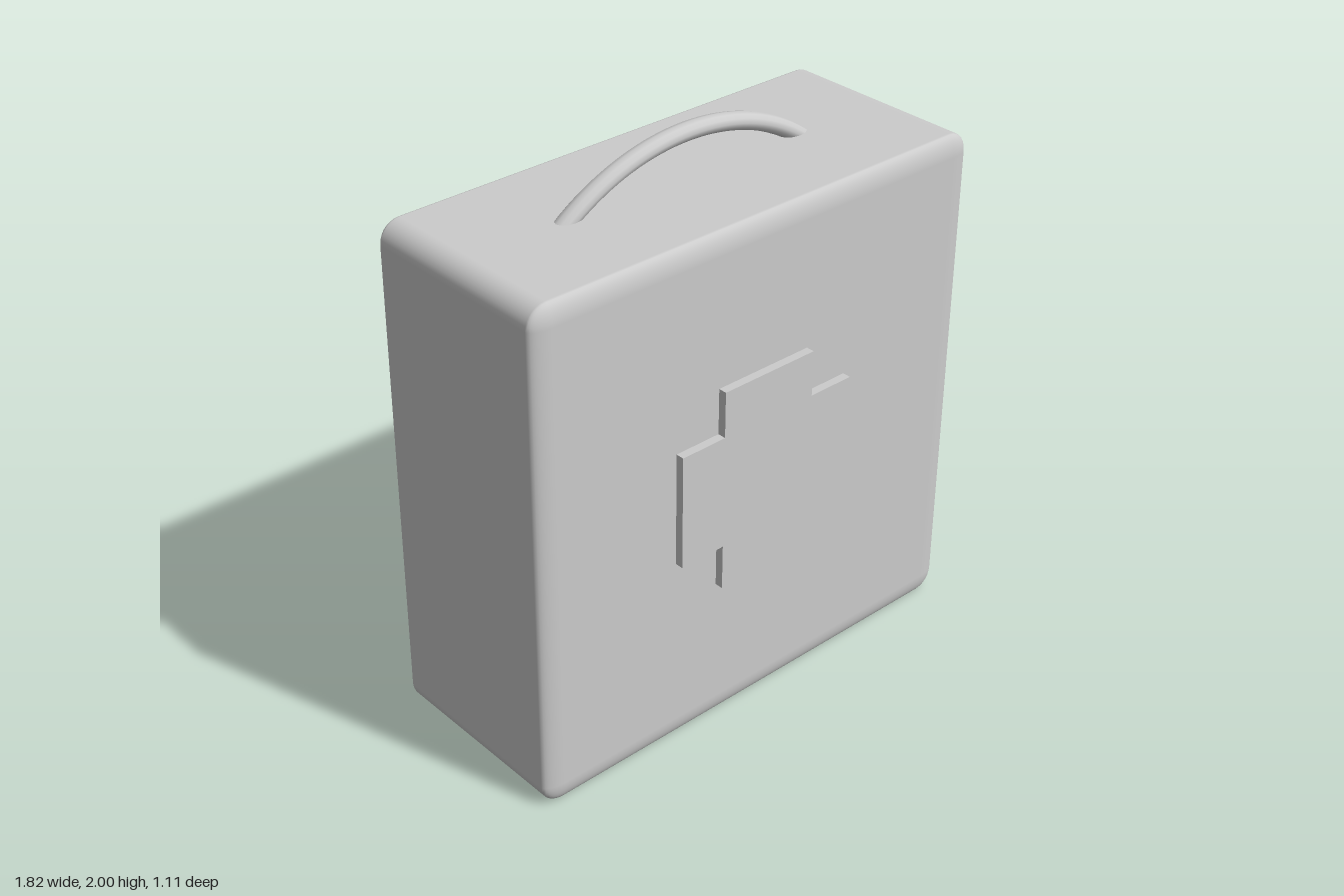
import * as THREE from 'three';
import { RoundedBoxGeometry } from 'three/addons/geometries/RoundedBoxGeometry.js';

const MID_Y = 0.915;

// Arc of a ring, bulging towards +y and centred on the y axis
function arcBar(radius, tube, halfAngle) {
  const arc = new THREE.TorusGeometry(radius, tube, 12, 40, halfAngle * 2);
  arc.rotateZ(Math.PI / 2 - halfAngle);
  return arc;
}

export function createModel() {
  const model = new THREE.Group();
  model.name = 'firstAidCase';
  const grey = new THREE.MeshStandardMaterial({ color: 0xcccccc });
  grey.name = 'light grey';

  const add = (name, geometry, x, y, z) => {
    const mesh = new THREE.Mesh(geometry, grey);
    mesh.name = name;
    mesh.position.set(x, y, z);
    model.add(mesh);
    return mesh;
  };

  // Case: a rounded cube flattened in depth, so its edges are tighter front to back
  const flat = 0.41;
  const body = new RoundedBoxGeometry(1.82, 1.825, 0.75 / flat, 4, 0.075);
  body.scale(1, 1, flat);
  add('caseBody', body, 0, 1.825 / 2, 0.15);

  // Raised cross on the front
  const w = 0.365, h = 0.372, a = 0.19, b = 0.207;
  const cross = new THREE.Shape([
    [-a, -h], [a, -h], [a, -b], [w, -b], [w, b], [a, b],
    [a, h], [-a, h], [-a, b], [-w, b], [-w, -b], [-a, -b],
  ].map(([x, y]) => new THREE.Vector2(x, y)));
  const plate = new THREE.ExtrudeGeometry(cross, { depth: 0.055, bevelEnabled: false });
  add('frontCross', plate, 0, MID_Y + 0.002, 0.5);

  // Carrying handle on top
  const handle = arcBar(0.83, 0.03, 0.75);
  handle.scale(1, 1, 1.12);
  add('topHandle', handle, 0, 1.14, 0.155);

  // Pair of shoulder straps on the back, flattened arcs with ends inside the case
  for (const side of [-1, 1]) {
    const strap = arcBar(0.746, 0.03, Math.PI / 2);
    strap.rotateZ(Math.PI / 2); // bulge to -x
    strap.rotateY(-Math.PI / 2); // bulge to -z
    strap.scale(1, 1, 0.645);
    add(side > 0 ? 'leftStrap' : 'rightStrap', strap, side * 0.462, MID_Y, -0.05);
  }

  return model;
}
